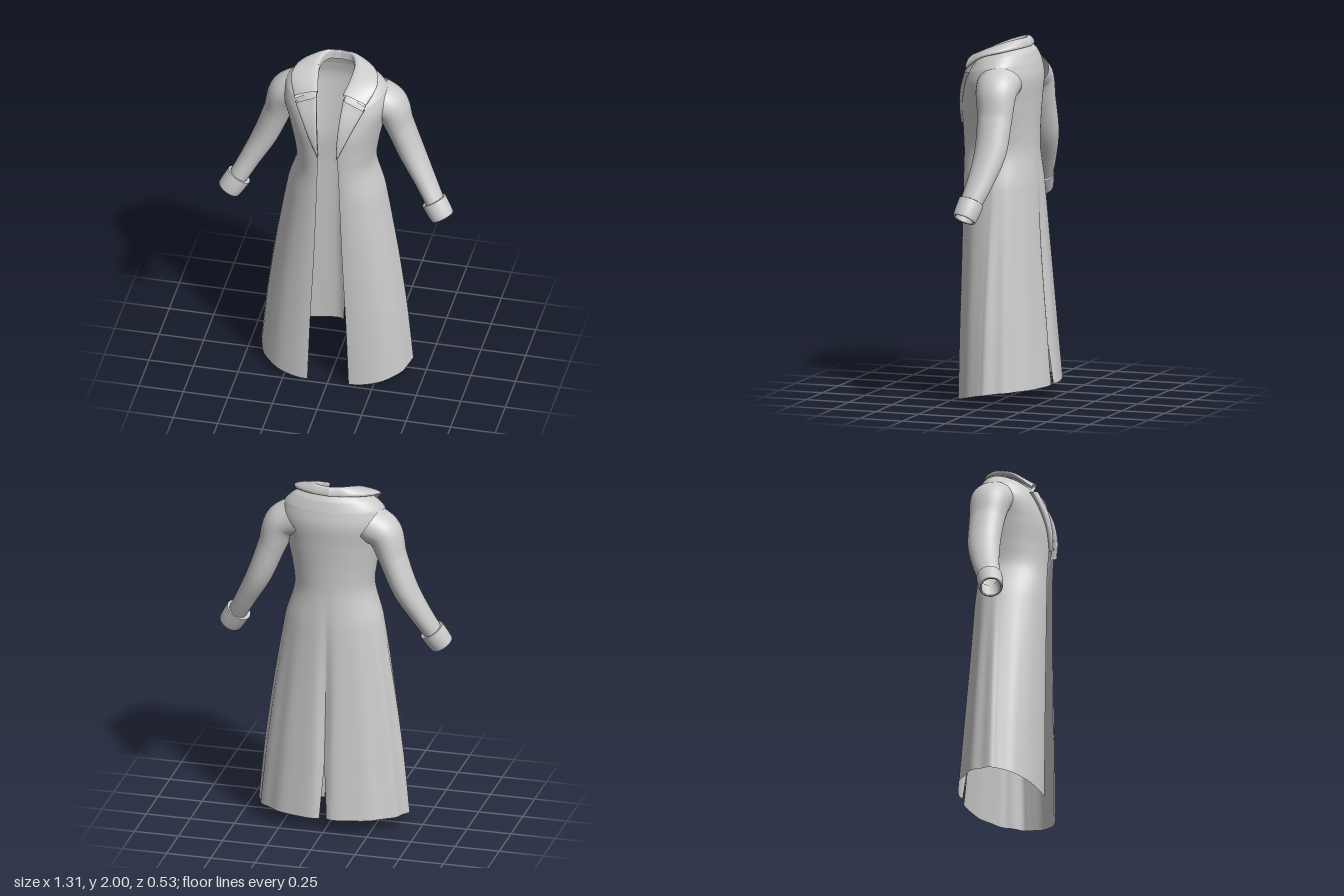
import * as THREE from 'three';
import { mergeVertices } from 'three/addons/utils/BufferGeometryUtils.js';

const V = (x, y, z) => new THREE.Vector3(x, y, z);
const curve = (pts) => new THREE.CatmullRomCurve3(pts.map((p) => V(...p)));
const material = new THREE.MeshStandardMaterial({ color: 0xcccccc, side: THREE.DoubleSide });

// Smooth surface from a rule fn(a, b), both running 0..1
function surface(name, na, nb, fn) {
  const pos = [], index = [];
  for (let j = 0; j <= nb; j++) {
    for (let i = 0; i <= na; i++) pos.push(...fn(i / na, j / nb).toArray());
  }
  for (let j = 0; j < nb; j++) {
    for (let i = 0; i < na; i++) {
      const p = j * (na + 1) + i, q = p + na + 1;
      index.push(p, p + 1, q + 1, p, q + 1, q);
    }
  }
  let geo = new THREE.BufferGeometry();
  geo.setAttribute('position', new THREE.Float32BufferAttribute(pos, 3));
  geo.setIndex(index);
  geo = mergeVertices(geo, 1e-5);
  geo.computeVertexNormals();
  const mesh = new THREE.Mesh(geo, material);
  mesh.name = name;
  return mesh;
}

// Cloth panel stretched across a set of long rails
function panel(name, rails, na, nb) {
  const curves = rails.map(curve);
  return surface(name, na, nb, (a, b) =>
    new THREE.CatmullRomCurve3(curves.map((c) => c.getPoint(b))).getPoint(a));
}

// Oval tube: rows of [x, y, z, radius across, radius in depth]
function ovalTube(name, rows, nb, axis) {
  const centre = curve(rows.map((r) => r.slice(0, 3)));
  const radii = curve(rows.map((r) => [r[3], r[4], 0]));
  return surface(name, 40, nb, (a, b) => {
    const t = axis || centre.getTangent(b);
    const depth = V(0, 0, 1).addScaledVector(t, -t.z).normalize();
    const across = depth.clone().cross(t);
    const r = radii.getPoint(b), ang = a * Math.PI * 2;
    return centre.getPoint(b)
      .addScaledVector(across, Math.cos(ang) * r.x)
      .addScaledVector(depth, Math.sin(ang) * r.y);
  });
}

// Coat cross-sections: half width, front z, back z, front y, back y, half opening
const rows = [
  [0.42, 0.23, -0.262, 0.005, 0.088, 0.115],
  [0.387, 0.23, -0.237, 0.4, 0.42, 0.1],
  [0.337, 0.23, -0.207, 0.8, 0.8, 0.08],
  [0.272, 0.232, -0.18, 1.2, 1.2, 0.065],
  [0.22, 0.235, -0.162, 1.4, 1.4, 0.058],
  [0.235, 0.242, -0.162, 1.52, 1.52, 0.052],
  [0.265, 0.243, -0.168, 1.64, 1.66, 0.056],
  [0.295, 0.218, -0.174, 1.75, 1.79, 0.064],
  [0.28, 0.2, -0.158, 1.8, 1.87, 0.07],
  [0.23, 0.18, -0.138, 1.84, 1.925, 0.074],
  [0.17, 0.165, -0.116, 1.86, 1.955, 0.076],
  [0.1, 0.155, -0.1, 1.87, 1.985, 0.078],
];

function coatHalf() {
  const sizes = curve(rows.map((r) => r.slice(0, 3)));
  const levels = curve(rows.map((r) => r.slice(3)));
  return surface('coatBody', 72, 132, (a, b) => {
    const { x: w, y: zf, z: zb } = sizes.getPoint(b);
    const { x: yf, y: yb, z: gap } = levels.getPoint(b);
    const ang = a * Math.PI, front = ang < Math.PI / 2;
    // back vent opens towards the hem
    const vent = 0.02 * Math.max(0, (0.39 - yb) / 0.3);
    const start = front ? gap : vent;
    let x = start + (w - start) * Math.sin(ang);
    let z = (front ? zf : -zb) * Math.cos(ang);
    const f = (z - zb) / (zf - zb);
    const y = yb + (yf - yb) * Math.pow(Math.max(f, 0), 2.5);
    // soft hanging folds in the skirt and a groove down the back seam
    const skirt = THREE.MathUtils.smoothstep(1.5 - y, 0, 0.9);
    const fold = 1 + 0.016 * skirt * Math.sin(ang * 13) * Math.sin(ang) * (front ? 0.3 : 1);
    x *= fold;
    z *= fold;
    if (!front) z += 0.022 * skirt * Math.exp(-((x / 0.028) ** 2));
    return V(x, y, z);
  });
}

function leftSide() {
  const side = new THREE.Group();
  side.add(coatHalf());

  side.add(ovalTube('sleeve', [
    [0.215, 1.78, -0.025, 0.105, 0.125],
    [0.29, 1.735, -0.032, 0.098, 0.115],
    [0.342, 1.6, -0.042, 0.078, 0.098],
    [0.412, 1.42, -0.042, 0.07, 0.09],
    [0.49, 1.27, -0.014, 0.058, 0.074],
    [0.555, 1.15, 0.02, 0.052, 0.062],
  ], 48));

  // turned-back cuff: outer face, rounded end, inner lining
  const top = V(0.545, 1.163, 0.018), end = V(0.602, 1.072, 0.04);
  const axis = end.clone().sub(top).normalize();
  const cuffRows = [[0.04, 0.05], [0, 0.064], [0.02, 0.071], [0.5, 0.07], [0.93, 0.066],
    [1, 0.06], [0.97, 0.052], [0.6, 0.049], [0.1, 0.047]];
  side.add(ovalTube('cuff', cuffRows.map(([t, r]) =>
    [...top.clone().lerp(end, t).toArray(), r, r]), 40, axis));

  // lapel: rolled inner edge, raised face, tucked outer edge
  const inner = [[0.05, 1.52, 0.258], [0.055, 1.62, 0.262], [0.064, 1.75, 0.238], [0.075, 1.872, 0.182]];
  const outer = [[0.054, 1.515, 0.254], [0.098, 1.62, 0.252], [0.146, 1.73, 0.228], [0.192, 1.82, 0.188]];
  const shift = (pts, dx, dy, dz) => pts.map(([x, y, z]) => [x + dx, y + dy, z + dz]);
  const middle = inner.map((p, i) => p.map((c, k) => (c + outer[i][k]) / 2 + (k === 2 ? 0.006 : 0)));
  side.add(panel('lapel', [
    shift(inner, 0.006, 0, -0.03), inner, middle, outer, shift(outer, -0.003, 0, -0.028),
  ], 20, 30));

  // collar: stand inside the neck, fold line, falling leaf, underside
  const foldLine = [[0.072, 1.902, 0.175], [0.09, 1.94, 0.085], [0.098, 1.982, -0.02],
    [0.068, 2, -0.08], [0, 2, -0.098]];
  const stand = [[0.08, 1.865, 0.155], [0.092, 1.9, 0.08], [0.096, 1.935, -0.015],
    [0.066, 1.95, -0.074], [0, 1.95, -0.09]];
  const edge = [[0.2, 1.855, 0.182], [0.24, 1.925, 0.075], [0.212, 1.952, -0.025],
    [0.12, 1.966, -0.1], [0, 1.968, -0.126]];
  const leaf = foldLine.map((p, i) => p.map((c, k) =>
    (c + edge[i][k]) / 2 + [0, 0.012, i ? 0 : 0.008][k]));
  const under = edge.map((p, i) => p.map((c, k) => c * 0.97 + foldLine[i][k] * 0.03 - (k === 1 ? 0.014 : 0)));
  const underIn = edge.map((p, i) => p.map((c, k) =>
    c * 0.6 + foldLine[i][k] * 0.4 - [0, 0.016, i ? 0 : 0.012][k]));
  side.add(panel('collar', [stand, foldLine, leaf, edge, under, underIn], 36, 40));
  return side;
}

export function createModel() {
  const model = new THREE.Group();
  model.name = 'longCoat';
  const left = leftSide();
  left.name = 'leftHalf';
  const right = left.clone();
  right.name = 'rightHalf';
  right.scale.x = -1;
  model.add(left, right);
  return model;
}
